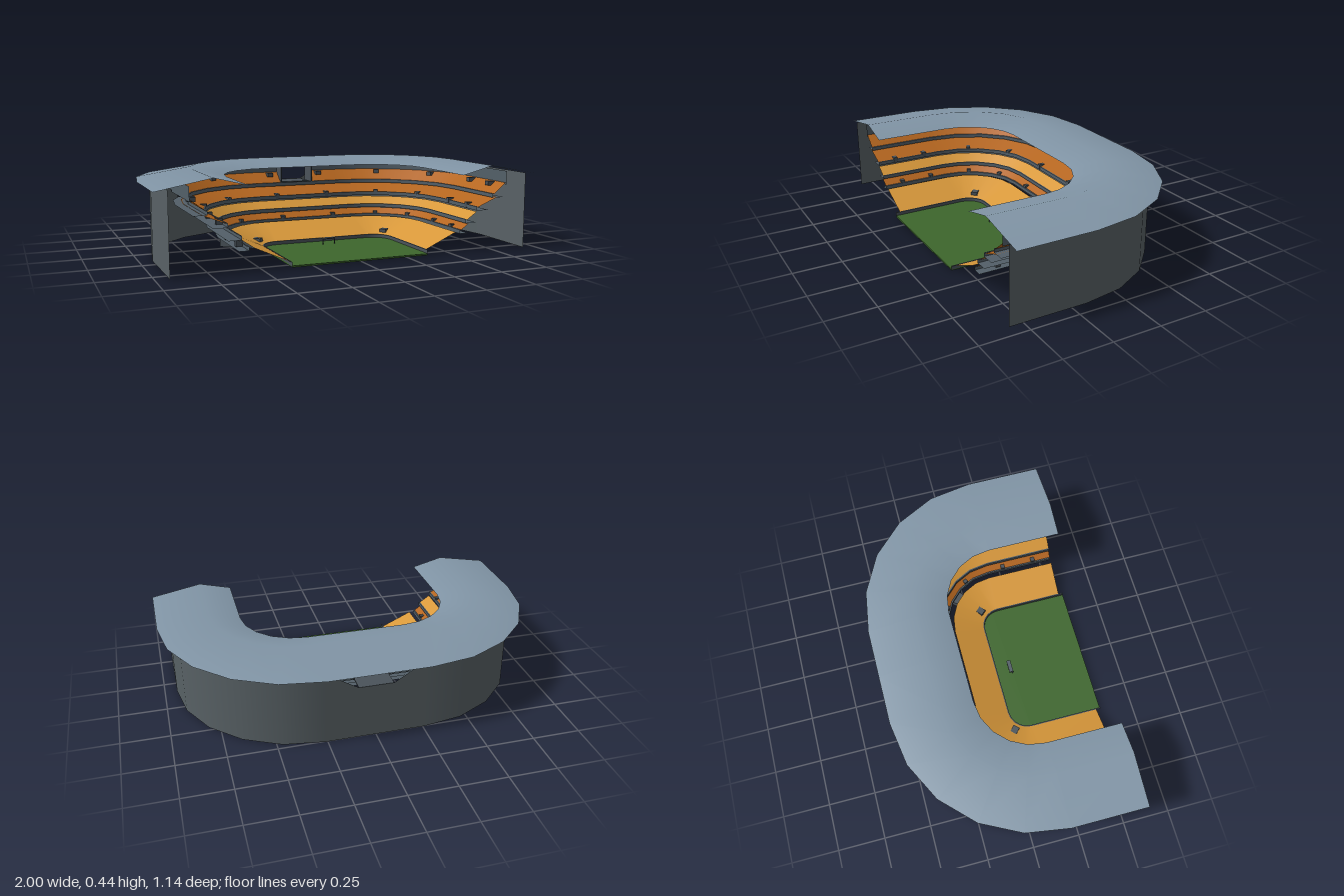
import * as THREE from 'three';
import { mergeGeometries } from 'three/addons/utils/BufferGeometryUtils.js';

// Every ring of the bowl is an offset r from one U-shaped core line.
const CX = 0.26, CZ = 0.17, STEPS = 5;

const mat = (name, color) => {
  const m = new THREE.MeshStandardMaterial({ color, side: THREE.DoubleSide });
  m.name = name;
  return m;
};

// Right half of the core: front end, five-step corner, back straight up to x = gap
function halfPath(endZ, gap) {
  const path = [[CX, endZ, 1, 0]];
  for (let i = 0; i <= STEPS; i++) {
    const a = (i / STEPS) * Math.PI / 2;
    path.push([CX, CZ, Math.cos(a), -Math.sin(a)]);
  }
  if (gap < CX) path.push([gap, CZ, 0, -1]);
  return path;
}

// Sweep a profile of [r, y] points along one half, then mirror it.
// smooth blends the shading across the profile's corners.
function sweep(profile, endZ, gap = 0, smooth = false) {
  const path = halfPath(endZ, gap), halves = [];
  const normals = profile.slice(1).map(([r, y], j) =>
    new THREE.Vector2(profile[j][1] - y, r - profile[j][0]).normalize());
  const blend = (a, b) => (smooth && b ? a.clone().add(b).normalize() : a);
  for (const s of [1, -1]) {
    const pos = [], nor = [], index = [];
    normals.forEach((n, j) => {
      const [r0, y0] = profile[j], [r1, y1] = profile[j + 1];
      const n0 = blend(n, normals[j - 1]), n1 = blend(n, normals[j + 1]);
      path.forEach(([cx, cz, nx, nz], i) => {
        const k = pos.length / 3;
        pos.push(s * (cx + nx * r0), y0, cz + nz * r0, s * (cx + nx * r1), y1, cz + nz * r1);
        for (const v of [n0, n1]) nor.push(s * nx * v.x, v.y, nz * v.x);
        if (i === path.length - 1) return;
        if (s > 0) index.push(k, k + 1, k + 3, k, k + 3, k + 2);
        else index.push(k, k + 3, k + 1, k, k + 2, k + 3);
      });
    });
    const g = new THREE.BufferGeometry();
    g.setAttribute('position', new THREE.Float32BufferAttribute(pos, 3));
    g.setAttribute('normal', new THREE.Float32BufferAttribute(nor, 3));
    g.setIndex(index);
    halves.push(g);
  }
  return mergeGeometries(halves);
}

const polygon = (points) => new THREE.Shape(points.map(([x, y]) => new THREE.Vector2(x, y)));

export function createModel() {
  const model = new THREE.Group();
  model.name = 'stadium';

  const roofMat = mat('roof blue grey', 0x8195a6);
  const wallMat = mat('wall grey', 0x586165);
  const slabMat = mat('slab slate', 0x535f68);
  const trimMat = mat('trim dark grey', 0x4a535a);
  const seatMat = mat('seat orange', 0xd8983a);
  const deepMat = mat('deep seat orange', 0xb5661f);
  const grassMat = mat('pitch green', 0x3d662c);

  const add = (name, geometry, material) => {
    const m = new THREE.Mesh(geometry, material);
    m.name = name;
    model.add(m);
    return m;
  };
  const box = (name, size, at, material) => {
    add(name, new THREE.BoxGeometry(...size), material).position.set(...at);
  };
  // Mirrored pair of a part at offset r; its local x points outwards
  const pair = (name, geometry, [cx, cz, a], r, y, material) => {
    for (const s of [1, -1]) {
      const m = add(name, geometry, material);
      m.position.set(s * (cx + Math.cos(a) * r), y, cz - Math.sin(a) * r);
      m.rotation.y = s > 0 ? a : Math.PI - a;
    }
  };

  // Roof sheet: soft ridge between outer eave and inner lip
  add('roof', sweep([[0.3, 0.397], [0.47, 0.44], [0.74, 0.39]], 0.57, 0, true), roofMat);

  // Outer wall, with a tapering notch cut in the back straight
  add('outerWall', sweep([[0.675, 0.395], [0.675, 0]], 0.57, CX), wallMat);
  const notched = polygon([
    [-CX, 0], [CX, 0], [CX, 0.395], [0.09, 0.29], [-0.09, 0.29], [-CX, 0.395],
  ]);
  const back = add('notchedBackWall', new THREE.ShapeGeometry(notched), wallMat);
  back.position.z = CZ - 0.675;
  back.rotation.y = Math.PI;

  // Pitch
  const half = halfPath(0.57, 0).map(([cx, cz, nx, nz]) => [cx + nx * 0.1, -cz - nz * 0.1]);
  const outline = polygon([...half, ...half.slice(0, -1).reverse().map(([x, y]) => [-x, y])]);
  const pitch = new THREE.ExtrudeGeometry(outline, { depth: 0.008, bevelEnabled: false });
  pitch.rotateX(-Math.PI / 2);
  add('pitch', pitch, grassMat).position.y = 0.004;
  add('pitchBoards', sweep([[0.1, 0.004], [0.1, 0.03], [0.107, 0.03]], 0.57), trimMat);

  // Small goal standing on the pitch
  for (const x of [-0.033, 0.033]) {
    box('goalPost', [0.005, 0.028, 0.005], [x, 0.026, 0.154], trimMat);
  }
  box('goalTop', [0.07, 0.005, 0.022], [0, 0.041, 0.146], slabMat);

  // Seating tiers: sloping seats, each upper one on a slab with a front fascia
  add('lowerSeats', sweep([[0.105, 0.028], [0.276, 0.105]], 0.545), seatMat);
  const tiers = [
    { r: 0.302, y: 0.094, slab: 0.35, seats: [[0.307, 0.112], [0.35, 0.143]], m: deepMat, gap: 0 },
    { r: 0.335, y: 0.146, slab: 0.4, seats: [[0.34, 0.162], [0.4, 0.203]], m: seatMat, gap: 0 },
    { r: 0.4, y: 0.208, slab: 0.47, seats: [[0.405, 0.225], [0.52, 0.272]], m: deepMat, gap: 0 },
    { r: 0.495, y: 0.27, slab: 0.56, seats: [[0.5, 0.288], [0.57, 0.345]], m: deepMat, gap: 0.09 },
  ];
  tiers.forEach(({ r, y, slab, seats, m, gap }) => {
    add('tierSlab', sweep([[slab, y], [r, y], [r, y + 0.02], [r + 0.008, y + 0.02]], 0.545), slabMat);
    add('tierSeats', sweep(seats, 0.545, gap), m);
  });

  // Entrance blocks spaced along two of the fascias and the top row
  const deg = Math.PI / 180;
  const stations = [
    [0.15, CZ, 90 * deg], [CX, CZ, 63 * deg], [CX, CZ, 27 * deg],
    [CX, 0.26, 0], [CX, 0.44, 0],
  ];
  const block = new THREE.BoxGeometry(0.032, 0.03, 0.022);
  const topBlock = new THREE.BoxGeometry(0.04, 0.022, 0.03);
  for (const s of stations) {
    pair('entranceBlock', block, s, 0.321, 0.113, trimMat);
    pair('entranceBlock', block, s, 0.415, 0.224, trimMat);
    pair('upperEntrance', topBlock, s, 0.545, 0.333, trimMat);
  }

  // Wall behind the top tier, open at the gateway in the middle of the back
  add('upperBackWall', sweep([[0.575, 0.335], [0.575, 0.405]], 0.545, 0.09), slabMat);
  box('gatewayFloor', [0.18, 0.006, 0.13], [0, 0.285, CZ - 0.61], trimMat);
  for (const x of [-0.093, 0.093]) {
    box('gatewaySide', [0.006, 0.11, 0.1], [x, 0.343, CZ - 0.545], trimMat);
  }

  // Diagonal player tunnels under the lower corners, widening outwards
  const plan = polygon([[0, -0.018], [0.22, -0.04], [0.22, 0.04], [0, 0.018]]);
  const tunnel = new THREE.ExtrudeGeometry(plan, { depth: 0.038, bevelEnabled: false });
  tunnel.rotateX(-Math.PI / 2);
  pair('cornerTunnel', tunnel, [CX, CZ, 42 * deg], 0.125, 0.004, trimMat);
  const mouth = new THREE.BoxGeometry(0.045, 0.016, 0.036);
  pair('tunnelMouth', mouth, [CX, CZ, 42 * deg], 0.148, 0.048, trimMat);

  return model;
}
